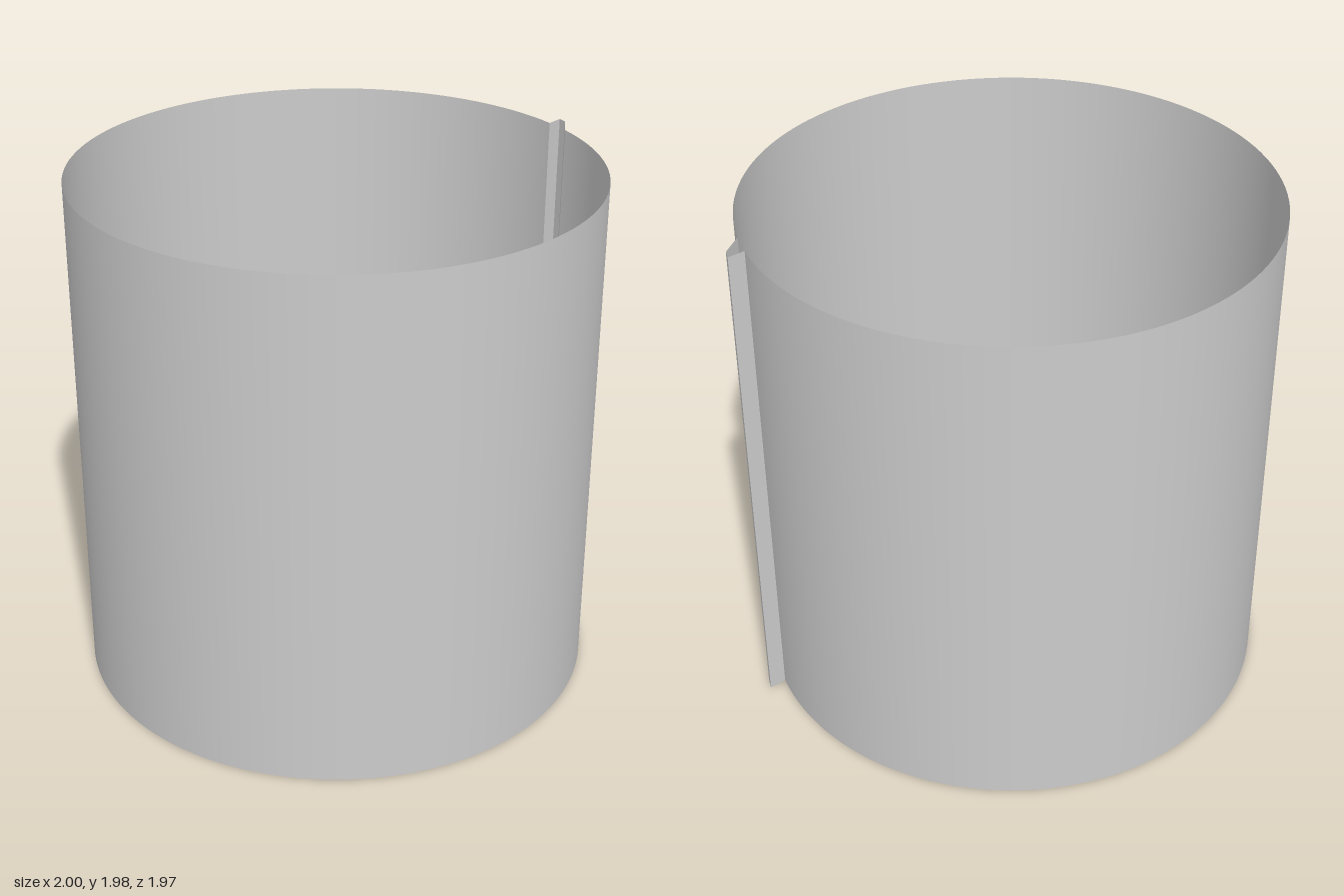
import * as THREE from 'three';

const H = 1.98, R = 0.985, CX = -0.015;

export function createModel() {
  const group = new THREE.Group();
  group.name = 'openSleeve';
  const mat = new THREE.MeshStandardMaterial({ color: 0xcccccc, side: THREE.DoubleSide });

  // plan outline [x, z] of the ridge; first and last points lie on the wall circle
  const onCircle = (z) => [Math.sqrt(R * R - z * z), z];
  const ridge = [onCircle(0.365), [1.0, 0.305], [1.015, 0.27], onCircle(0.27)];
  const angle = ([x, z]) => Math.atan2(x, z);

  // thin curved wall, open at both ends and interrupted by the ridge
  const start = angle(ridge[3]);
  const sweep = Math.PI * 2 - (start - angle(ridge[0]));
  const wall = new THREE.Mesh(new THREE.CylinderGeometry(R, R, H, 128, 1, true, start, sweep), mat);
  wall.name = 'curvedWall';
  wall.position.set(CX, H / 2, 0);
  group.add(wall);

  // hollow vertical ridge folded from flat panels
  const seam = new THREE.Group();
  seam.name = 'seamRidge';
  ['slopePanel', 'edgePanel', 'returnPanel'].forEach((name, i) => {
    const [ax, az] = ridge[i], [bx, bz] = ridge[i + 1];
    const panel = new THREE.Mesh(new THREE.PlaneGeometry(Math.hypot(bx - ax, bz - az), H), mat);
    panel.name = name;
    panel.position.set(CX + (ax + bx) / 2, H / 2, (az + bz) / 2);
    panel.rotation.y = Math.atan2(az - bz, bx - ax);
    seam.add(panel);
  });
  group.add(seam);
  return group;
}
